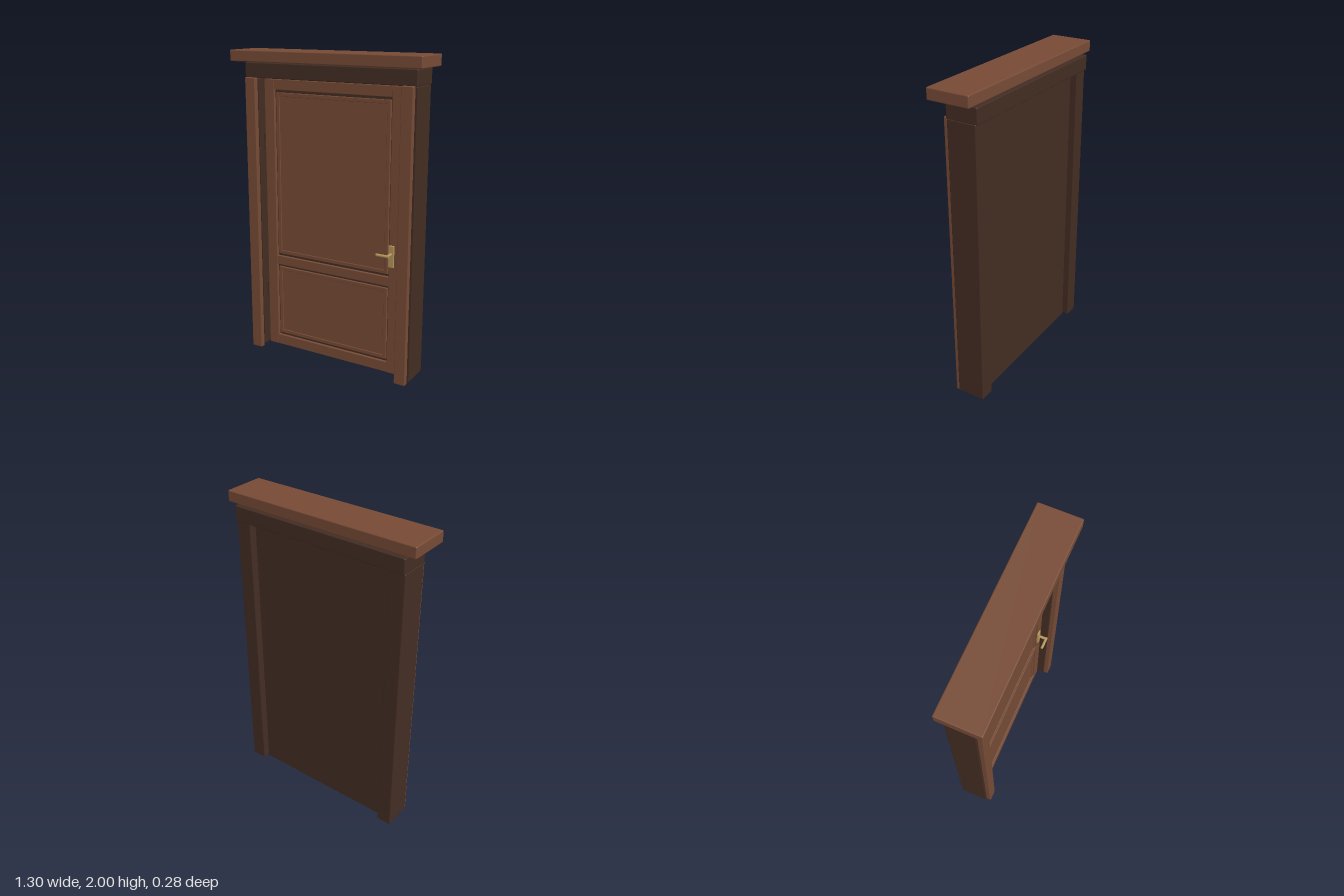
import * as THREE from 'three';
import { RoundedBoxGeometry } from 'three/addons/geometries/RoundedBoxGeometry.js';

const mat = (name, color) => {
  const m = new THREE.MeshStandardMaterial({ color });
  m.name = name;
  return m;
};

export function createModel() {
  const wood = mat('warm wood', 0x774b36);
  const dark = mat('dark wood', 0x432d23);
  const brass = mat('brass', 0xb5965a);

  const door = new THREE.Group();
  door.name = 'panelledDoor';

  // Box given by its limits on each axis, with softly bevelled edges
  const block = (name, material, [x0, x1], [y0, y1], [z0, z1], bevel = 0.005) => {
    const w = x1 - x0, h = y1 - y0, d = z1 - z0;
    const geo = bevel ? new RoundedBoxGeometry(w, h, d, 2, bevel) : new THREE.BoxGeometry(w, h, d);
    const mesh = new THREE.Mesh(geo, material);
    mesh.position.set((x0 + x1) / 2, (y0 + y1) / 2, (z0 + z1) / 2);
    mesh.name = name;
    door.add(mesh);
    return mesh;
  };

  // Head of the frame
  block('cornice', wood, [-0.65, 0.65], [1.93, 2], [-0.132, 0.136], 0.007);
  block('lintel', dark, [-0.592, 0.592], [1.827, 1.922], [-0.141, 0.06], 0.006);

  // Jambs with a raised casing on the front
  for (const s of [-1, 1]) {
    const side = s < 0 ? 'right' : 'left';
    const span = (a, b) => (s > 0 ? [a, b] : [-b, -a]);
    block(side + 'Jamb', dark, span(0.493, 0.592), [0.018, 1.827], [-0.128, 0.056]);
    block(side + 'Casing', wood, span(0.502, 0.577), [0, 1.83], [0.05, 0.087]);
    // Door stiles
    block(side + 'Stile', wood, span(0.413, 0.484), [0.018, 1.82], [-0.03, 0.008], 0.003);
  }

  // Door slab and rails
  block('doorSlab', dark, [-0.484, 0.484], [0.018, 1.82], [-0.09, -0.012], 0.003);
  for (const [name, y0, y1] of [['topRail', 1.755, 1.82], ['middleRail', 0.598, 0.658], ['bottomRail', 0.018, 0.087]])
    block(name, wood, [-0.415, 0.415], [y0, y1], [-0.03, 0.006], 0.003);

  // Panels, each framed by a slim moulding
  for (const [name, y0, y1] of [['upper', 0.675, 1.738], ['lower', 0.104, 0.582]]) {
    const x = 0.402, t = 0.024, z = [-0.02, 0.002];
    block(name + 'Panel', wood, [-x + t, x - t], [y0 + t, y1 - t], [-0.02, -0.004], 0);
    block(name + 'MouldingTop', wood, [-x, x], [y1 - t, y1], z, 0.003);
    block(name + 'MouldingBottom', wood, [-x, x], [y0, y0 + t], z, 0.003);
    block(name + 'MouldingLeft', wood, [x - t, x], [y0, y1], z, 0.003);
    block(name + 'MouldingRight', wood, [-x, -x + t], [y0, y1], z, 0.003);
  }

  // Hinges in the gap on one side
  for (const y of [0.415, 1.425])
    block('hinge', dark, [-0.496, -0.482], [y - 0.05, y + 0.05], [-0.02, 0.012], 0.003);

  // Handle: back plate, spindle and lever
  block('handlePlate', brass, [0.413, 0.449], [0.727, 0.866], [0.004, 0.018], 0.003);
  const rod = (name, r, length, x, y, z, axis) => {
    const mesh = new THREE.Mesh(new THREE.CylinderGeometry(r, r, length, 16), brass);
    mesh.position.set(x, y, z);
    mesh.rotation[axis] = Math.PI / 2;
    mesh.name = name;
    door.add(mesh);
  };
  rod('handleSpindle', 0.009, 0.055, 0.43, 0.812, 0.04, 'x');
  rod('handleLever', 0.009, 0.084, 0.397, 0.812, 0.066, 'z');

  return door;
}
